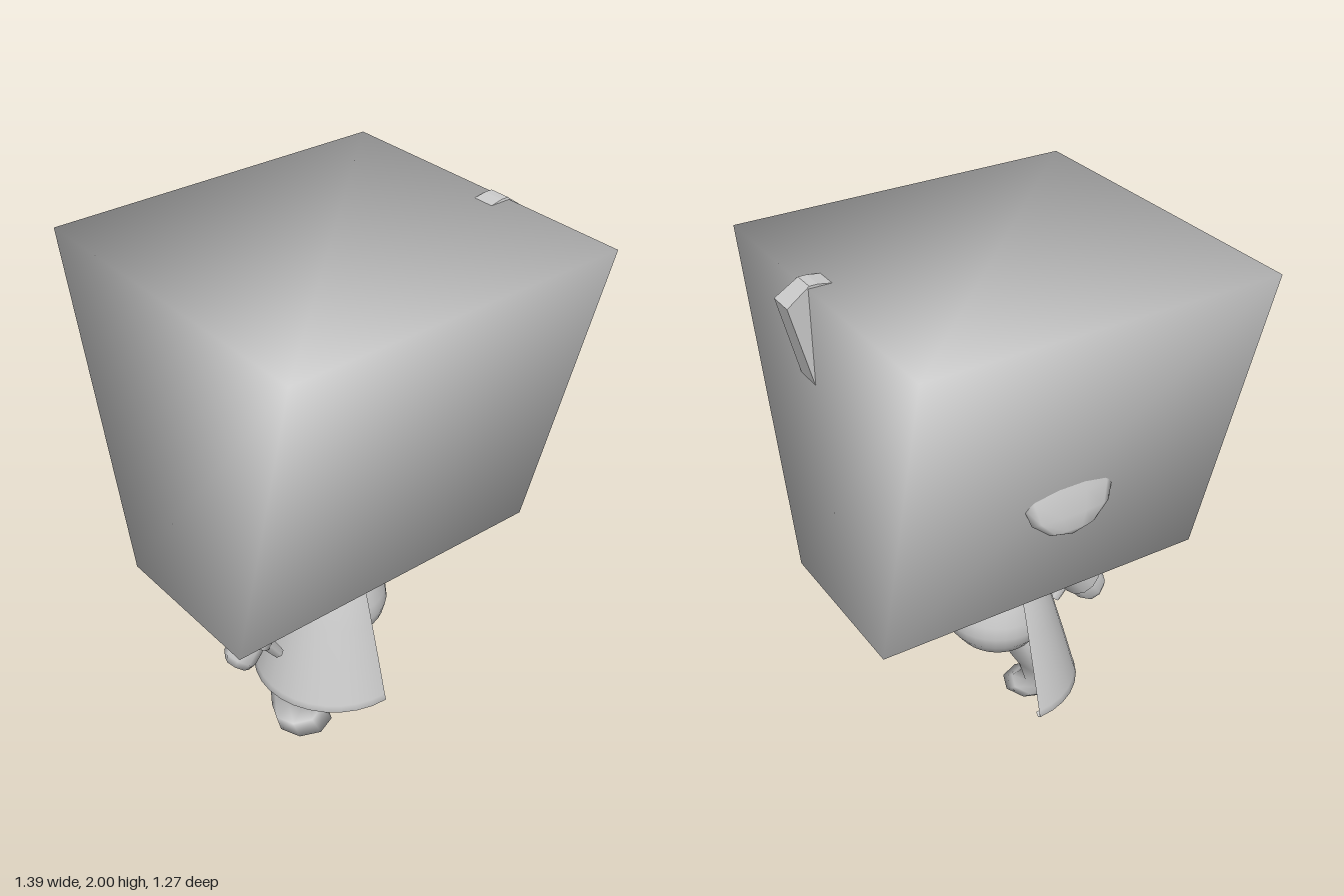
import * as THREE from 'three';
import { mergeVertices } from 'three/addons/utils/BufferGeometryUtils.js';

const CX = -0.04; // symmetry plane of the figure

const material = (double) => new THREE.MeshStandardMaterial({
  color: 0xcccccc, side: double ? THREE.DoubleSide : THREE.FrontSide });

function add(parent, name, geometry, double = false) {
  const mesh = new THREE.Mesh(geometry, material(double));
  mesh.name = name;
  parent.add(mesh);
  return mesh;
}

// Closed loft through elliptical rings, each [y, centreX, centreZ, radiusX, radiusZ], bottom to top
function loft(rings, sides) {
  const pos = [], idx = [];
  for (const [y, cx, cz, rx, rz] of rings) {
    for (let j = 0; j < sides; j++) {
      const a = (j / sides) * Math.PI * 2;
      pos.push(cx + Math.cos(a) * rx, y, cz + Math.sin(a) * rz);
    }
  }
  const last = rings.length - 1, bottom = rings.length * sides, top = bottom + 1;
  for (const r of [rings[0], rings[last]]) pos.push(r[1], r[0], r[2]);
  for (let j = 0; j < sides; j++) {
    const k = (j + 1) % sides;
    for (let i = 0; i < last; i++) {
      const p = i * sides + j, q = i * sides + k;
      idx.push(p, p + sides, q, q, p + sides, q + sides);
    }
    idx.push(bottom, j, k, top, last * sides + k, last * sides + j);
  }
  const g = new THREE.BufferGeometry();
  g.setAttribute('position', new THREE.Float32BufferAttribute(pos, 3));
  g.setIndex(idx);
  g.computeVertexNormals();
  return g;
}

// Box with shared corners, so its shading is smooth across the edges
function smoothBox(w, h, d, move) {
  const g = new THREE.BoxGeometry(w, h, d);
  g.deleteAttribute('normal');
  g.deleteAttribute('uv');
  const merged = mergeVertices(g);
  const p = merged.attributes.position, v = new THREE.Vector3();
  for (let i = 0; i < p.count; i++) {
    move(v.fromBufferAttribute(p, i));
    p.setXYZ(i, v.x, v.y, v.z);
  }
  merged.computeVertexNormals();
  return merged;
}

export function createModel() {
  const model = new THREE.Group();
  model.name = 'boxHeadedFigure';

  // Head: box that narrows front to back towards the bottom
  const head = add(model, 'head', smoothBox(1.314, 1.225, 1.27, (v) => {
    if (v.y < 0) v.z *= 0.504;
  }));
  head.position.set(-0.043, 1.378, 0);

  // Shallow swelling on the back of the head
  const bump = add(model, 'backBump', new THREE.SphereGeometry(1, 10, 6));
  bump.scale.set(0.18, 0.15, 0.03);
  bump.position.set(CX, 1.29, -0.445);
  bump.rotation.x = 0.252;

  // Hooked tab over the top edge of the head
  const outline = [[0.5, 1.985], [0.58, 1.999], [0.61, 1.999], [0.69, 1.94], [0.615, 1.65], [0.59, 1.65], [0.6, 1.95]];
  const tab = new THREE.ExtrudeGeometry(
    new THREE.Shape(outline.map(([x, y]) => new THREE.Vector2(x, y))), { depth: 0.1, bevelEnabled: false });
  const tp = tab.attributes.position;
  for (let i = 0; i < tp.count; i++) {
    if (tp.getZ(i) > 0.05) tp.setZ(i, 0.105 - Math.max(0, tp.getY(i) - 1.9) * 0.25);
  }
  tab.computeVertexNormals();
  add(model, 'headTab', tab).position.z = 0.06;

  // Torso: pear shape, fullest low down
  const torso = [
    [0.325, 0.01, 0.01], [0.335, 0.045, 0.05], [0.36, 0.1, 0.105], [0.4, 0.15, 0.155], [0.45, 0.187, 0.192],
    [0.5, 0.2, 0.205], [0.55, 0.193, 0.2], [0.62, 0.165, 0.183], [0.7, 0.125, 0.157], [0.78, 0.07, 0.125], [0.84, 0.03, 0.09],
  ];
  add(model, 'torso', loft(torso.map(([y, rx, rz]) => [y, CX, 0, rx, rz]), 32));

  // Coat: open half cone on one side of the body, with a turned-in hem
  const coat = [[0.29, 0.18], [0.305, 0.165], [0.318, 0.175], [0.31, 0.2], [0.27, 0.35], [0.228, 0.5], [0.2, 0.6], [0.16, 0.71], [0.125, 0.8]];
  const coatMesh = add(model, 'coat', new THREE.LatheGeometry(
    coat.map(([r, y]) => new THREE.Vector2(r, y)), 16, Math.PI, Math.PI), true);
  coatMesh.position.x = CX;

  // Leg with a forward-pointing foot
  add(model, 'leg', loft([
    [0, -0.235, 0.05, 0.112, 0.11], [0.03, -0.24, 0.012, 0.1, 0.098], [0.085, -0.24, -0.025, 0.075, 0.088],
    [0.16, -0.235, -0.005, 0.085, 0.14], [0.23, -0.2, 0.005, 0.09, 0.165], [0.31, -0.18, 0.008, 0.09, 0.162],
    [0.38, -0.15, 0.01, 0.08, 0.12], [0.46, -0.12, 0, 0.05, 0.06],
  ], 8));

  // Arm: sleeve, hand and thumb, built upright from the hand and tilted
  const arm = new THREE.Group();
  arm.name = 'arm';
  add(arm, 'sleeve', loft([
    [0.09, 0, 0, 0.06, 0.06], [0.1, 0, 0, 0.082, 0.082], [0.3, 0, 0, 0.08, 0.08], [0.42, 0, 0, 0.07, 0.075], [0.52, 0, 0, 0.05, 0.06],
  ], 12));
  add(arm, 'hand', loft([
    [-0.01, 0.005, 0, 0.052, 0.045], [0.02, 0, 0, 0.07, 0.06], [0.07, 0, 0, 0.072, 0.06], [0.14, 0, 0, 0.06, 0.055],
  ], 8));
  const thumb = add(arm, 'thumb', new THREE.CylinderGeometry(0.022, 0.03, 0.1, 6));
  thumb.position.set(0.09, 0.1, 0.04);
  thumb.rotation.z = -1.9;
  arm.position.set(-0.5, 0.41, 0);
  arm.rotation.z = -0.655;
  model.add(arm);

  return model;
}
